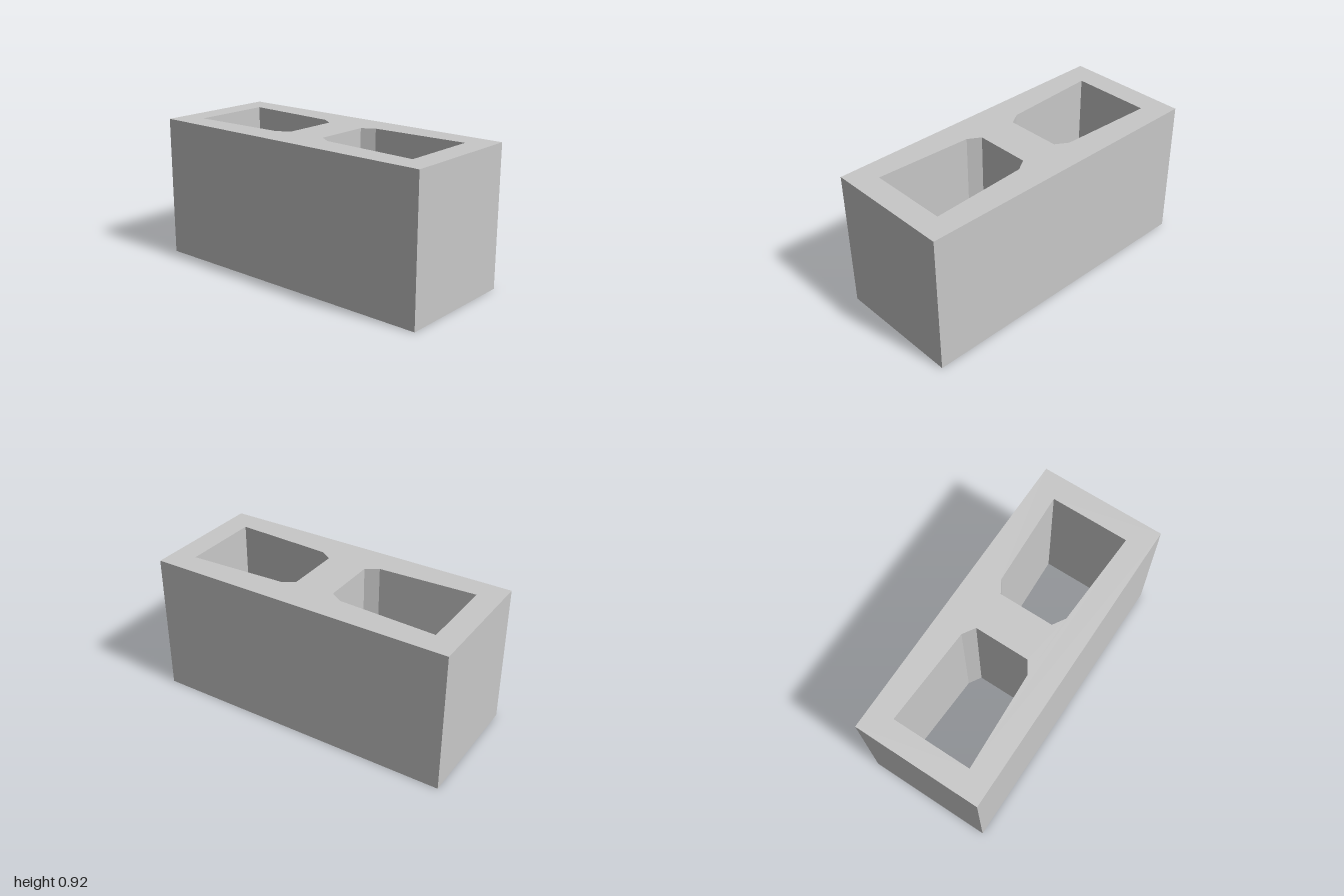
import * as THREE from 'three';

const HALF_WIDTH = 0.415, HALF_LENGTH = 1, HEIGHT = 0.92;

// Half outline of a core opening: [x, distance from the middle web]
const CORE = [[0.26, 0.845], [0.23, 0.21], [0.18, 0.13]];

// Tapered core with chamfered inner corners, on the front (1) or back (-1) half
function corePath(side) {
  const right = CORE.map(([x, d]) => new THREE.Vector2(x, side * d));
  const left = CORE.map(([x, d]) => new THREE.Vector2(-x, side * d)).reverse();
  return new THREE.Path([...right, ...left]);
}

export function createModel() {
  const concrete = new THREE.MeshStandardMaterial({ color: 0xc8c8c8 });
  concrete.name = 'concrete grey';

  // Block plan with its two through cores
  const plan = new THREE.Shape([
    new THREE.Vector2(-HALF_WIDTH, -HALF_LENGTH),
    new THREE.Vector2(HALF_WIDTH, -HALF_LENGTH),
    new THREE.Vector2(HALF_WIDTH, HALF_LENGTH),
    new THREE.Vector2(-HALF_WIDTH, HALF_LENGTH),
  ]);
  plan.holes.push(corePath(1), corePath(-1));

  // Extrude the plan and stand it upright
  const geometry = new THREE.ExtrudeGeometry(plan, { depth: HEIGHT, bevelEnabled: false });
  geometry.rotateX(-Math.PI / 2);

  const block = new THREE.Mesh(geometry, concrete);
  block.name = 'hollowBlock';

  const model = new THREE.Group();
  model.name = 'concreteBlock';
  model.add(block);
  return model;
}
